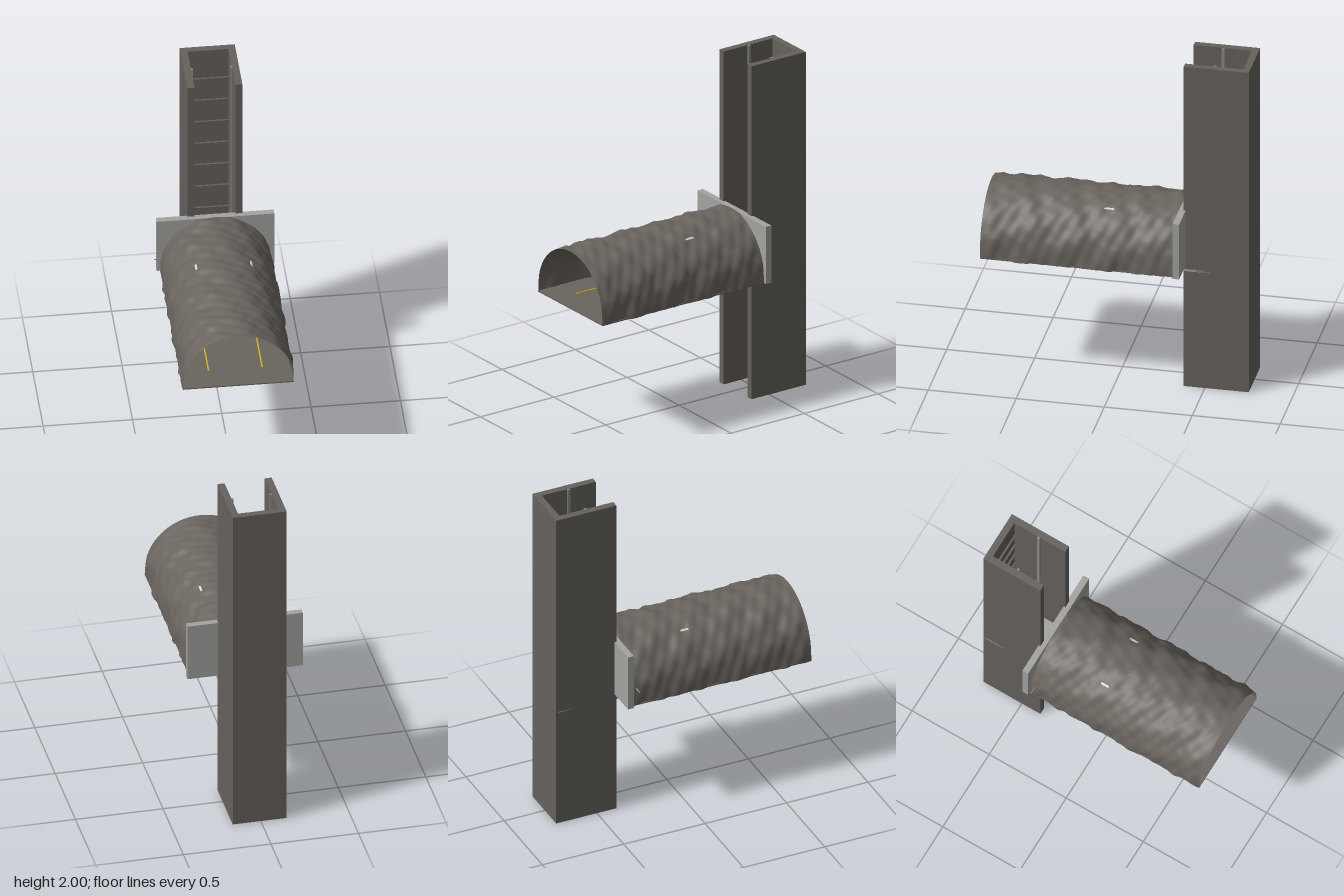
import * as THREE from 'three';

const CX = 0.006;          // shared centre line of shaft and tunnel
const FLOOR = 0.757;       // underside of the tunnel

function material(name, color, extra = {}) {
  const m = new THREE.MeshStandardMaterial({ color, ...extra });
  m.name = name;
  return m;
}

export function createModel() {
  const root = new THREE.Group();
  root.name = 'mineLiftStation';
  const rock = material('rock', 0x69645e, { side: THREE.DoubleSide });
  const wall = material('shaftWall', 0x66615d);
  const concrete = material('concrete', 0xa3a3a1);
  const steel = material('steel', 0x8b8b89);
  const dark = material('darkSteel', 0x4a4744);
  const yellow = material('safetyYellow', 0xd9b020);
  const lamp = material('lampGlass', 0xd8d6c8);

  // Box given by its lower and upper bounds on each axis
  function box(name, mat, x0, x1, y0, y1, z0, z1, parent = root) {
    const mesh = new THREE.Mesh(new THREE.BoxGeometry(x1 - x0, y1 - y0, z1 - z0), mat);
    mesh.position.set((x0 + x1) / 2, (y0 + y1) / 2, (z0 + z1) / 2);
    mesh.name = name;
    parent.add(mesh);
    return mesh;
  }

  // Lift shaft: one U-shaped section, open to the front
  const u = new THREE.Shape();
  [[-0.148, 0.75], [0.16, 0.75], [0.16, 0.38], [0.121, 0.38], [0.121, 0.711],
    [-0.108, 0.711], [-0.108, 0.38], [-0.148, 0.38]]
    .forEach(([x, y], i) => (i ? u.lineTo(x, y) : u.moveTo(x, y)));
  const shaftGeo = new THREE.ExtrudeGeometry(u, { depth: 2, bevelEnabled: false });
  shaftGeo.rotateX(-Math.PI / 2);
  const shaft = new THREE.Mesh(shaftGeo, wall);
  shaft.name = 'shaft';
  root.add(shaft);

  // Cross beams on the back wall
  const beams = new THREE.Group();
  beams.name = 'shaftBeams';
  root.add(beams);
  for (let i = 1; i <= 12; i++) {
    const y = i * 0.15 + 0.005;
    box('shaftBeam', wall, -0.108, 0.121, y - 0.006, y + 0.006, -0.712, -0.7, beams);
  }

  // Guide rails on the side walls
  for (const [x0, x1] of [[-0.109, -0.097], [0.11, 0.122]])
    box('guideRail', steel, x0, x1, 0, 2, -0.558, -0.542);

  // Lift platform, just showing through the shaft walls
  box('liftPlatform', concrete, -0.148, 0.16, 0.721, 0.735, -0.74, -0.352);

  // End wall with a doorway
  const end = new THREE.Shape();
  [[-0.323, FLOOR], [-0.11, FLOOR], [-0.11, 0.97], [0.122, 0.97], [0.122, FLOOR],
    [0.335, FLOOR], [0.335, 1.1], [-0.323, 1.1]]
    .forEach(([x, y], i) => (i ? end.lineTo(x, y) : end.moveTo(x, y)));
  const endWall = new THREE.Mesh(
    new THREE.ExtrudeGeometry(end, { depth: 0.037, bevelEnabled: false }), concrete);
  endWall.position.z = -0.391;
  endWall.name = 'endWall';
  root.add(endWall);

  // Door frame and threshold
  const frame = new THREE.Group();
  frame.name = 'doorFrame';
  root.add(frame);
  box('leftJamb', steel, 0.115, 0.13, FLOOR, 0.964, -0.385, -0.345, frame);
  box('rightJamb', steel, -0.118, -0.103, FLOOR, 0.964, -0.385, -0.345, frame);
  box('lintel', steel, -0.118, 0.13, 0.964, 0.979, -0.385, -0.345, frame);
  for (let i = 0; i < 8; i++) {
    const x = -0.1 + i * 0.0265;
    box('thresholdStripe', yellow, x, x + 0.018, 0.764, 0.769, -0.352, -0.33);
  }

  // Rough rock vault: a rounded arch swept along z and pushed in and out by waves
  const ARC = 48, LEN = 72, zBack = -0.354, zFront = 0.745;
  const rough = (a, z) => {
    const w = Math.sin(27 * z + 2.1 * Math.sin(3 * a)) * 0.4
      + Math.sin(49 * z - 5 * a + 1.3) * 0.3
      + Math.sin(11 * a + 17 * z) * 0.3
      + Math.sin(83 * z + 13 * a) * 0.2
      + Math.sin(23 * a - 38 * z + 2) * 0.2;
    const fade = Math.min(1, (zFront - z) / 0.05, (z - zBack) / 0.03 + 0.3);
    return (0.003 + 0.010 * w) * fade;
  };
  const pos = [], idx = [];
  for (let j = 0; j <= LEN; j++) {
    const z = zBack + (zFront - zBack) * j / LEN;
    for (let i = 0; i <= ARC; i++) {
      const a = Math.PI * i / ARC;
      const r = 0.309 + rough(a, z);
      const lift = 0.036 * Math.min(1, Math.sin(a) * 4);
      pos.push(CX + r * Math.cos(a), FLOOR + lift + r * Math.sin(a), z);
      if (i < ARC && j < LEN) {
        const p = j * (ARC + 1) + i, q = p + ARC + 1;
        idx.push(p, p + 1, q, p + 1, q + 1, q);
      }
    }
  }
  const vaultGeo = new THREE.BufferGeometry();
  vaultGeo.setAttribute('position', new THREE.Float32BufferAttribute(pos, 3));
  // Wind the faces so that they point outwards
  for (let k = 0; k < idx.length; k += 3) [idx[k + 1], idx[k + 2]] = [idx[k + 2], idx[k + 1]];
  vaultGeo.setIndex(idx);
  vaultGeo.computeVertexNormals();
  const vault = new THREE.Mesh(vaultGeo, rock);
  vault.name = 'tunnelVault';
  root.add(vault);

  // Tunnel floor with two safety lines
  box('tunnelFloor', rock, -0.304, 0.316, FLOOR, 0.764, zBack, zFront);
  for (const s of [-1, 1])
    box('floorLine', yellow, CX + s * 0.15 - 0.004, CX + s * 0.15 + 0.004, 0.764, 0.767, -0.3, 0.6);

  // Railings beside the doorway
  function railing(name, x0, x1, top, z) {
    const g = new THREE.Group();
    g.name = name;
    root.add(g);
    const t = 0.003;
    for (const x of [x0, (x0 + x1) / 2, x1])
      box('post', yellow, x - t, x + t, 0.764, top, z - t, z + t, g);
    for (const y of [top, (top + 0.764) / 2])
      box('rail', yellow, x0 - t, x1 + t, y - t, y + t, z - t, z + t, g);
  }
  railing('rightTallRailing', -0.24, -0.13, 0.85, -0.31);
  railing('rightLowRailing', -0.26, -0.15, 0.803, -0.24);
  railing('leftLowRailing', 0.167, 0.27, 0.803, -0.31);

  // Control post, call box and cross bar by the end wall
  box('controlPost', steel, 0.277, 0.293, 0.764, 0.88, -0.32, -0.304);
  box('callBox', dark, 0.152, 0.17, 0.903, 0.93, -0.356, -0.345);
  box('callButton', yellow, 0.156, 0.166, 0.911, 0.922, -0.346, -0.341);
  const bar = new THREE.Mesh(new THREE.CylinderGeometry(0.004, 0.004, 0.48, 10), steel);
  bar.rotation.z = Math.PI / 2;
  bar.position.set(-0.1, 0.86, -0.325);
  bar.name = 'crossBar';
  root.add(bar);

  // Ceiling lamps, sunk into the vault
  for (const s of [-1, 1]) {
    const light = box('ceilingLamp', lamp, -0.006, 0.006, -0.004, 0.004, -0.032, 0.032);
    light.position.set(CX + s * 0.153, 1.063, 0.048);
    light.rotation.z = -s * 0.5;
  }
  return root;
}
